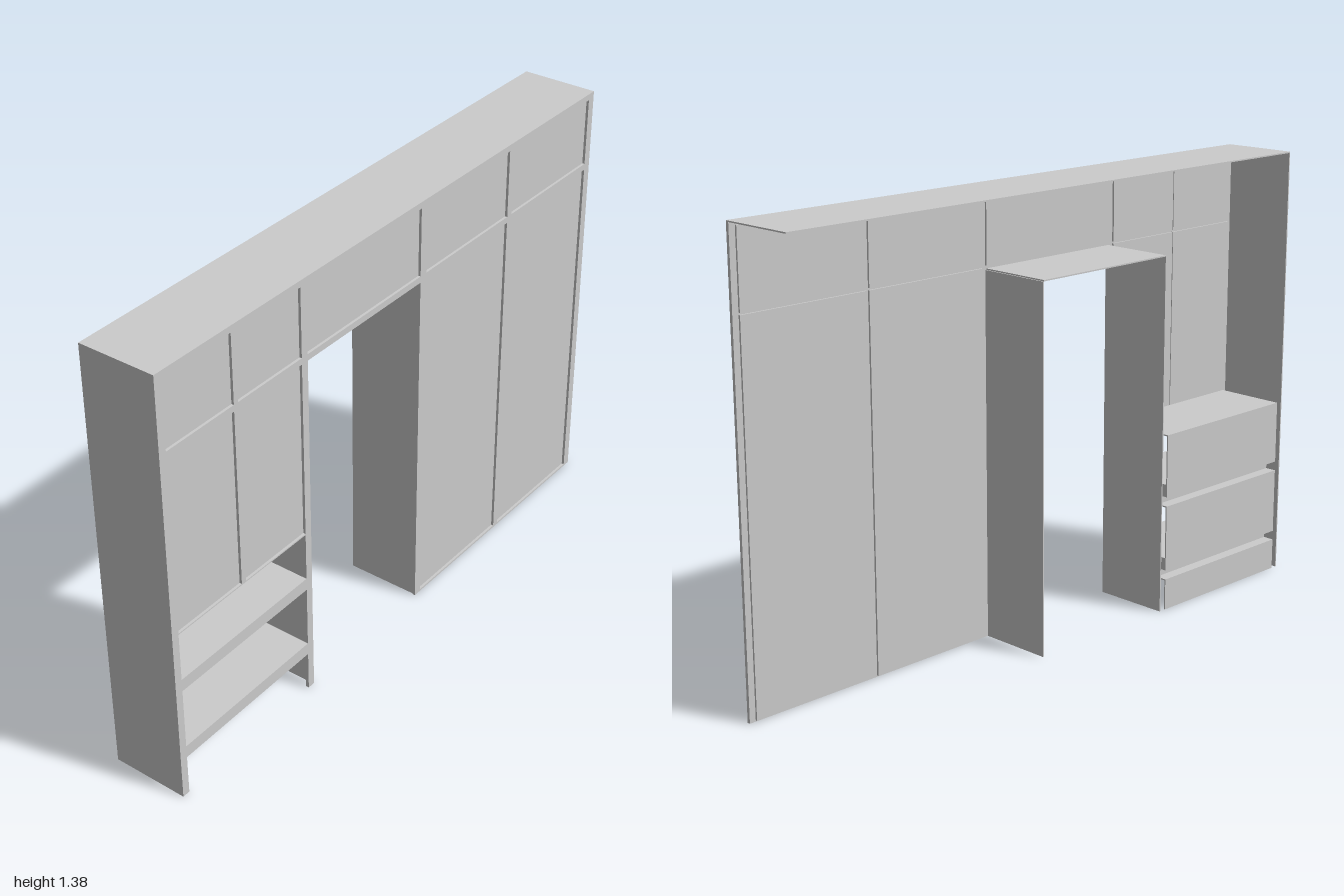
import * as THREE from 'three';

const D = 0.1225, H = 1.385, T = 0.004; // half depth, height, board thickness

export function createModel() {
  const root = new THREE.Group();
  root.name = 'wardrobeWall';
  const mat = new THREE.MeshStandardMaterial({ color: 0xcccccc, side: THREE.DoubleSide });

  // Box given by its extents along each axis
  const board = (name, [x0, x1], [y0, y1], [z0, z1]) => {
    const mesh = new THREE.Mesh(new THREE.BoxGeometry(x1 - x0, y1 - y0, z1 - z0), mat);
    mesh.position.set((x0 + x1) / 2, (y0 + y1) / 2, (z0 + z1) / 2);
    mesh.name = name;
    root.add(mesh);
  };
  const depth = [-D, D];

  // Carcass: top, end wall and doorway lining
  board('topBoard', depth, [H - T, H], [-1, 1]);
  board('endWall', depth, [0, H], [1 - T, 1]);
  board('doorwayWallLeft', depth, [0, 1.13], [0.415, 0.415 + T]);
  board('doorwayWallRight', depth, [0, 1.13], [-0.1 - T, -0.1]);
  board('doorwayCeiling', depth, [1.13, 1.13 + T], [-0.1, 0.415]);

  // Face frame: uprights [z0, z1, bottom]
  const face = [D - 0.01, D];
  const stiles = [
    [0.975, 1, 0], [0.7, 0.717, 0.57], [0.415, 0.44, 0],
    [-0.125, -0.097, 0], [-0.56, -0.538, 0], [-1, -0.973, 0],
  ];
  for (const [z0, z1, y0] of stiles) board('frameStile', face, [y0, H], [z0, z1]);

  // Face frame: rails
  board('headerRail', face, [1.365, H], [-1, 1]);
  board('middleRail', face, [1.13, 1.15], [-1, 1]);
  board('bottomRail', face, [0, 0.006], [-1, -0.1]);

  // Door panels set slightly behind the frame
  const lap = 0.007;
  const panel = [D - 0.016, D - 0.008];
  const bays = [
    [0.717, 0.975, 0.57], [0.44, 0.7, 0.57], [-0.097, 0.415, null],
    [-0.538, -0.125, 0.004], [-0.973, -0.56, 0.004],
  ];
  for (const [z0, z1, bottom] of bays) {
    const span = [z0 - lap, z1 + lap];
    board('upperDoor', panel, [1.15 - lap, 1.365 + lap], span);
    if (bottom !== null) board('lowerDoor', panel, [bottom, 1.13 + lap], span);
  }

  // Drawer block: fronts on the rear side, finger grooves between, shelves open to the front
  const bay = [0.44, 0.977];
  board('drawerTop', depth, [0.57 - T, 0.57], bay);
  for (const y of [[0, 0.1], [0.13, 0.34], [0.37, 0.57]]) board('drawerFront', [-D, -D + T], y, bay);
  for (const y of [0.1, 0.34]) {
    board('grooveFloor', [-D, -D + 0.04], [y - T, y], bay);
    board('grooveBack', [-D + 0.036, -D + 0.04], [y, y + 0.03], bay);
    board('shelf', [-D + T, D], [y + 0.03, y + 0.07], bay);
  }
  return root;
}
